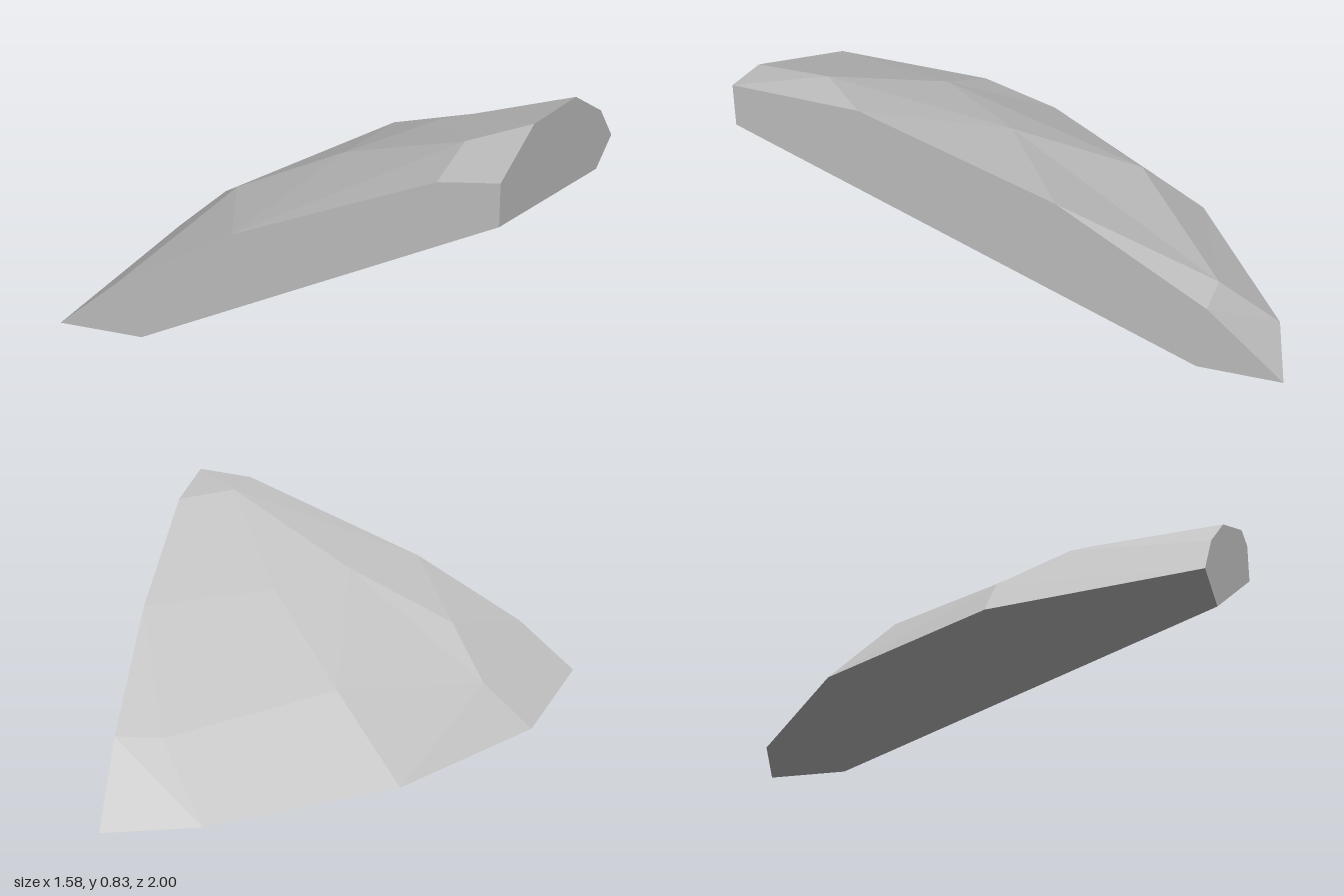
import * as THREE from 'three';

// Corners of the boulder, grouped by height
const P = {
  // ground ring, from front left round to the back
  g0: [-0.79, 0, 1], g1: [-0.64, 0, 0.23], g2: [-0.19, 0, -0.46], g3: [0.45, 0, -0.91], g4: [0.79, 0, -1],
  // lower ring
  l0: [-0.56, 0.21, 1], l1: [-0.45, 0.18, 0.23], l2: [0.06, 0.3, -0.28], l3: [0.62, 0.25, -0.72], l4: [0.79, 0.25, -0.72],
  // middle ring
  m0: [-0.13, 0.48, 1], m1: [-0.31, 0.35, 0.47], m2: [0.1, 0.56, 0.47], m3: [0.35, 0.56, 0.13], m4: [0.79, 0.57, -0.18],
  // upper ring and peak
  u0: [0.58, 0.8, 1], u1: [0.6, 0.81, 0.72], u2: [0.79, 0.81, 0.53], peak: [0.79, 0.83, 1],
  // corners of the sloping underside
  a: [0.79, 0.67, 1], b: [-0.48, 0, 1], c: [0.79, 0, -0.69],
};

// Builds a flat-shaded mesh from convex faces, each a list of corner names seen anticlockwise
function facets(name, faces, material) {
  const pos = [];
  for (const face of faces) {
    const k = face.split(' ');
    for (let i = 1; i < k.length - 1; i++) pos.push(...P[k[0]], ...P[k[i]], ...P[k[i + 1]]);
  }
  const geo = new THREE.BufferGeometry();
  geo.setAttribute('position', new THREE.Float32BufferAttribute(pos, 3));
  geo.computeVertexNormals();
  const mesh = new THREE.Mesh(geo, material);
  mesh.name = name;
  return mesh;
}

export function createModel() {
  const stone = new THREE.MeshStandardMaterial({ color: 0xc2c2c2 });
  stone.name = 'stone grey';
  const group = new THREE.Group();
  group.name = 'boulder';

  // Weathered slope, in bands from the ground to the peak
  group.add(facets('slope', [
    'g0 l0 l1', 'g0 l1 g1', 'g1 l1 g2', 'g2 l1 l2', 'g2 l2 l3 g3', 'g3 l3 l4 g4',
    'l0 m1 l1', 'l0 m0 m1', 'l1 m1 m2', 'l1 m2 l2', 'l2 m2 m3', 'l2 m3 l3', 'l3 m3 m4', 'l3 m4 l4',
    'm0 m2 m1', 'm0 u1 m2', 'm0 u0 u1', 'm2 u1 m3', 'm3 u1 u2', 'm3 u2 m4',
    'u0 peak u1', 'u1 peak u2',
  ], stone));

  // Straight cut faces
  group.add(facets('frontCut', ['g0 b a peak u0 m0 l0'], stone));
  group.add(facets('leftCut', ['a c g4 l4 m4 u2 peak'], stone));

  // Flat footing and sloping underside
  group.add(facets('footing', ['b g0 g1 g2 g3 g4 c'], stone));
  group.add(facets('underside', ['a b c'], stone));
  return group;
}
